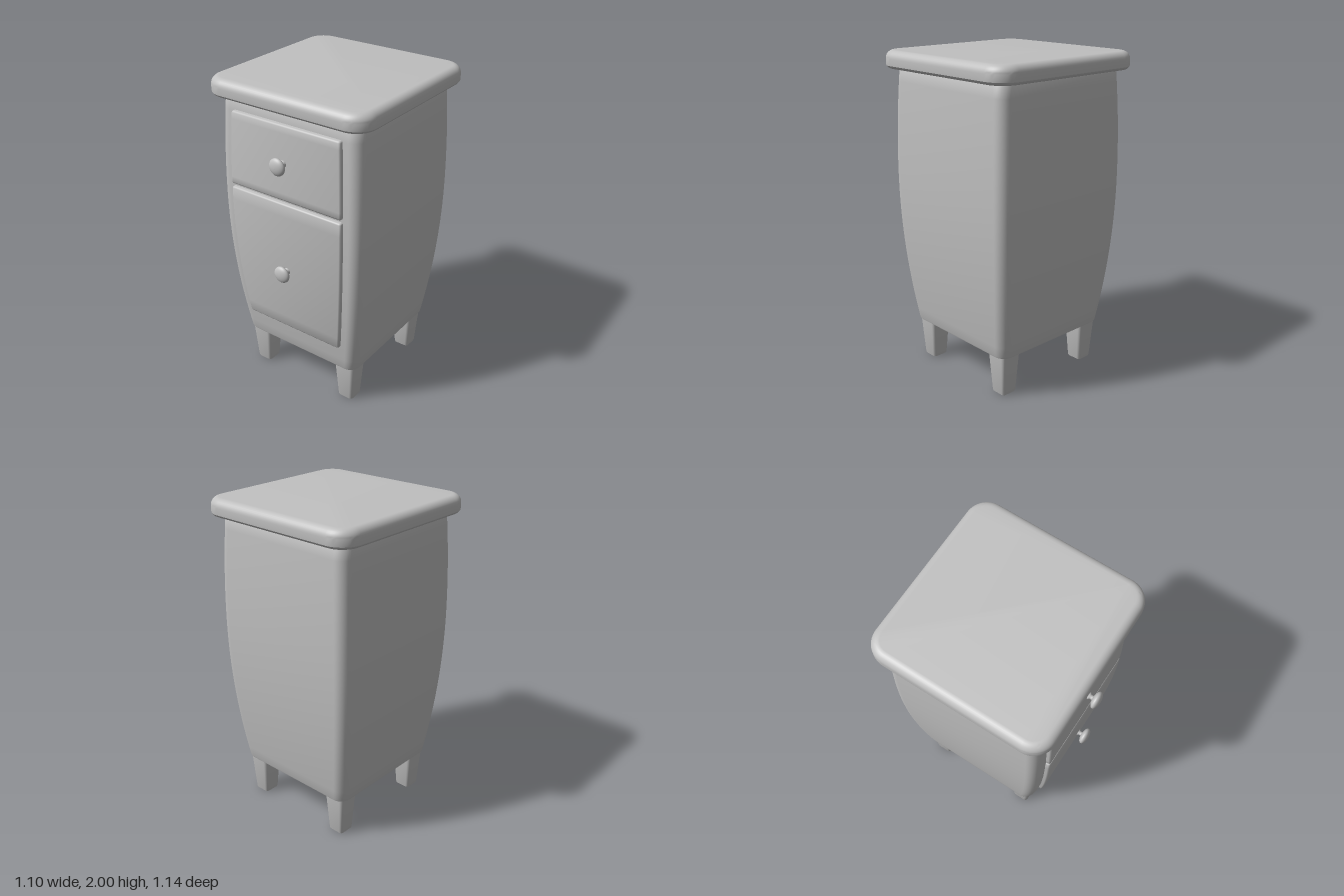
import * as THREE from 'three';
import { toCreasedNormals } from 'three/addons/utils/BufferGeometryUtils.js';

const CZ = -0.02; // centre of the cabinet in z

// Half width of the bulging body at a height
const halfAt = (y) => 0.499 - (y < 1.25 ? 0.077 : 0.055) * (y - 1.25) ** 2;

// Skin a stack of rings ([x, y, z] points, bottom to top) and cap both ends
function loft(rings, crease = 0.6) {
  const pos = [];
  const n = rings[0].length;
  const tri = (a, b, c) => pos.push(...a, ...b, ...c);
  for (let j = 0; j < rings.length - 1; j++) {
    for (let i = 0; i < n; i++) {
      const k = (i + 1) % n;
      const [a, b, c, d] = [rings[j][i], rings[j][k], rings[j + 1][i], rings[j + 1][k]];
      tri(a, c, b);
      tri(b, c, d);
    }
  }
  const bottom = rings[0], top = rings[rings.length - 1];
  for (let i = 1; i < n - 1; i++) {
    tri(bottom[0], bottom[i], bottom[i + 1]);
    tri(top[0], top[i + 1], top[i]);
  }
  const geo = new THREE.BufferGeometry();
  geo.setAttribute('position', new THREE.Float32BufferAttribute(pos, 3));
  return toCreasedNormals(geo, crease);
}

// Horizontal rounded square ring
function roundedRing(y, half, radius, steps = 8) {
  const ring = [];
  for (let q = 0; q < 4; q++) {
    const mid = (q + 0.5) * Math.PI / 2;
    const cx = Math.sign(Math.cos(mid)) * (half - radius);
    const cz = Math.sign(Math.sin(mid)) * (half - radius);
    for (let s = 0; s <= steps; s++) {
      const a = (q + s / steps) * Math.PI / 2;
      ring.push([cx + radius * Math.cos(a), y, cz + radius * Math.sin(a)]);
    }
  }
  return ring;
}

// Bulging body with softened rims
function bodyGeometry() {
  const y0 = 0.272, y1 = 1.88, rings = [];
  rings.push(roundedRing(0.26, halfAt(y0) - 0.012, 0.058));
  rings.push(roundedRing(0.2635, halfAt(y0) - 0.0035, 0.0665));
  for (let i = 0; i <= 24; i++) {
    const y = y0 + (y1 - y0) * i / 24;
    rings.push(roundedRing(y, halfAt(y), 0.07));
  }
  rings.push(roundedRing(1.892, halfAt(y1) - 0.008, 0.062));
  rings.push(roundedRing(1.9, halfAt(y1) - 0.02, 0.05));
  return loft(rings);
}

// Table top: small chamfer below, large round-over above
function topGeometry() {
  const rings = [[1.892, 0.527], [1.897, 0.538], [1.91, 0.549], [1.92, 0.55]]
    .map(([y, h]) => roundedRing(y, h, h - 0.42, 12));
  for (let i = 0; i <= 8; i++) {
    const a = i / 8 * Math.PI / 2;
    const h = 0.5 + 0.05 * Math.cos(a);
    rings.push(roundedRing(1.95 + 0.05 * Math.sin(a), h, h - 0.42, 12));
  }
  return loft(rings);
}

// Drawer front that follows the curve of the body
function drawerGeometry(y0, y1) {
  const b = 0.01, rings = [];
  const row = (y, inset) => {
    const w = halfAt(y) - 0.104 - inset;
    const back = halfAt(y) - 0.03;
    const front = halfAt(y) + 0.026 - inset;
    const side = [[w, back], [w, front - b], [w - 0.3 * b, front - 0.3 * b], [w - b, front]];
    const mirrored = side.map(([x, z]) => [-x, z]).reverse();
    rings.push([...side, ...mirrored].map(([x, z]) => [x, y, z]));
  };
  row(y0, b);
  row(y0 + 0.3 * b, 0.3 * b);
  for (let i = 0; i <= 12; i++) row(y0 + b + (y1 - y0 - 2 * b) * i / 12, 0);
  row(y1 - 0.3 * b, 0.3 * b);
  row(y1, b);
  return loft(rings, 0.9);
}

// Turned knob: flared stem and lens-shaped head, along +z
function knobGeometry() {
  const pts = [[0, -0.07], [0.022, -0.07], [0.022, -0.047], [0.014, -0.04], [0.013, -0.025]];
  for (let i = 0; i <= 14; i++) {
    const a = -1.3 + (1.3 + Math.PI / 2) * i / 14;
    pts.push([Math.max(0, 0.053 * Math.cos(a)), 0.025 * Math.sin(a)]);
  }
  const geo = new THREE.LatheGeometry(pts.map(([r, y]) => new THREE.Vector2(r, y)), 32);
  return geo.rotateX(Math.PI / 2);
}

export function createModel() {
  const model = new THREE.Group();
  model.name = 'bedsideCabinet';
  const grey = new THREE.MeshStandardMaterial({ color: 0xc0c0c0 });
  grey.name = 'plain grey';

  const add = (name, geo, x = 0, y = 0, z = CZ) => {
    const mesh = new THREE.Mesh(geo, grey);
    mesh.name = name;
    mesh.position.set(x, y, z);
    model.add(mesh);
  };

  add('body', bodyGeometry());
  add('tableTop', topGeometry());
  add('upperDrawer', drawerGeometry(1.367, 1.82));
  add('lowerDrawer', drawerGeometry(0.447, 1.347));

  const knob = knobGeometry();
  add('upperKnob', knob, 0, 1.597, 0.549);
  add('lowerKnob', knob, 0, 0.895, 0.543);

  // Four tapered legs
  const leg = loft([
    roundedRing(0, 0.046, 0.014, 4),
    roundedRing(0.003, 0.052, 0.019, 4),
    roundedRing(0.01, 0.054, 0.02, 4),
    roundedRing(0.27, 0.071, 0.022, 4),
  ]);
  for (const [sx, side] of [[1, 'Left'], [-1, 'Right']]) {
    for (const [sz, end] of [[1, 'front'], [-1, 'back']]) {
      add(`${end}${side}Leg`, leg, sx * 0.335, 0, CZ + sz * 0.335);
    }
  }
  return model;
}
